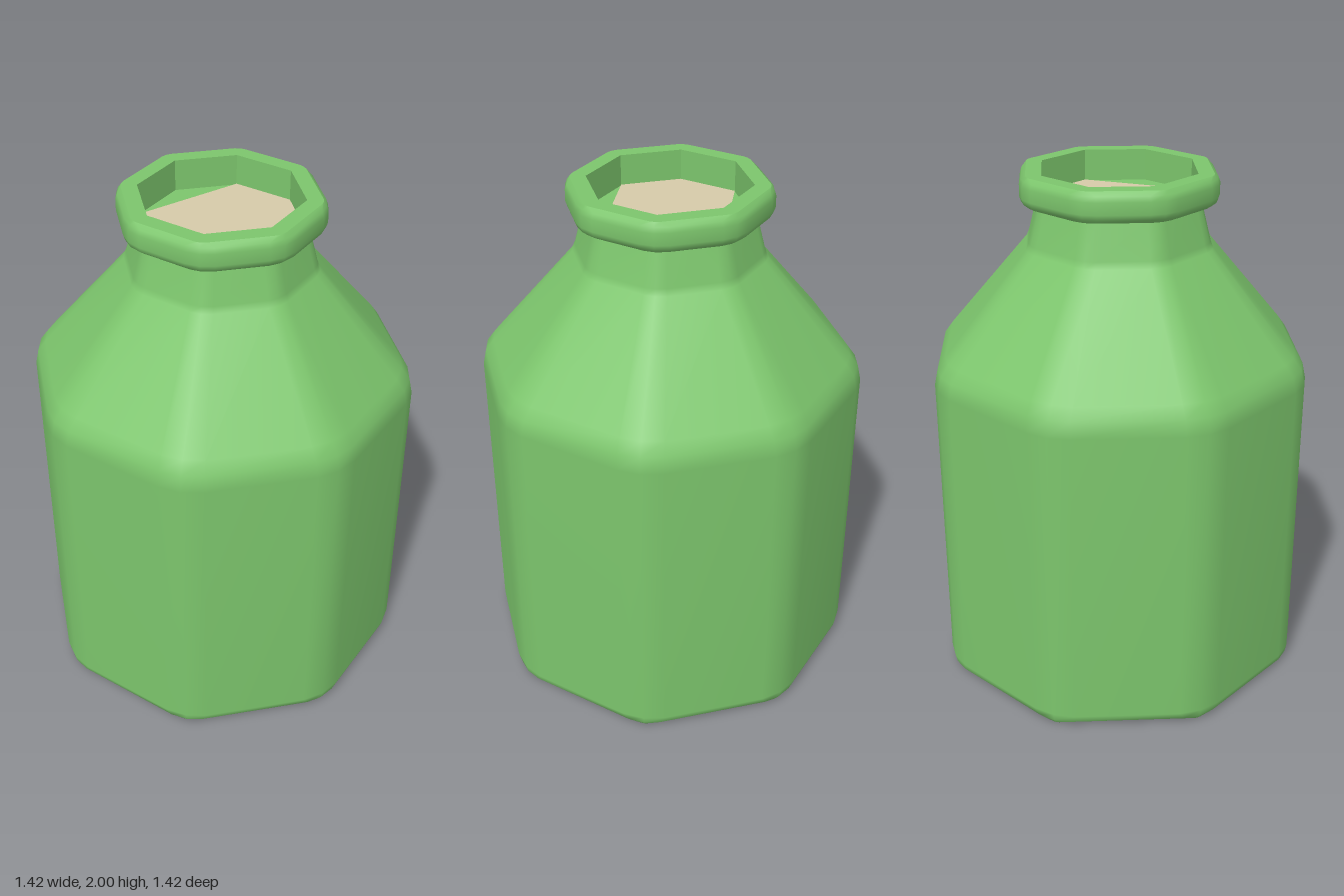
import * as THREE from 'three';

const RAD = Math.PI / 180;
const TURN = 19.6;   // angle of the first corner of the octagon
const HALF = 22.5;   // half of one octagon side

// Points of an octagon: half width w across the flats, corners bevelled by +-d degrees
function ring(w, y, d, sharp) {
  const points = [];
  for (let k = 0; k < 8; k++) {
    for (const s of sharp ? [0] : [-1, 0, 1]) {
      const t = (TURN + 45 * k + s * d) * RAD;
      let r = w * 0.983 / Math.cos((HALF - d) * RAD);
      if (s === 0) r *= 1 + 0.002 * d;
      points.push([r * Math.cos(t), y, -r * Math.sin(t)]);
    }
  }
  return points;
}

// Skin through levels [halfWidth, y, bevel], listed so that the outside is on the right
function skin(levels, { flat = false, sharp = false } = {}) {
  const rings = levels.map(([w, y, d = 0]) => ring(w, y, d, sharp));
  const n = rings[0].length;
  const index = [];
  for (let j = 0; j < rings.length - 1; j++) {
    for (let i = 0; i < n; i++) {
      const a = j * n + i, b = j * n + (i + 1) % n;
      index.push(a, b, b + n, a, b + n, a + n);
    }
  }
  let geo = new THREE.BufferGeometry();
  geo.setAttribute('position', new THREE.Float32BufferAttribute(rings.flat(2), 3));
  geo.setIndex(index);
  if (flat) geo = geo.toNonIndexed();
  geo.computeVertexNormals();
  return geo;
}

// Flat upward polygon on the octagon corners, leaving out some of them
function plate(w, y, skip = []) {
  const corners = ring(w, y, 0, true).filter((_, k) => !skip.includes(k));
  const shape = new THREE.Shape(corners.map(([x, , z]) => new THREE.Vector2(x, -z)));
  return new THREE.ShapeGeometry(shape).rotateX(-Math.PI / 2).translate(0, y, 0);
}

export function createModel() {
  const green = new THREE.MeshStandardMaterial({ color: 0x7cc56c });
  green.name = 'bottleGreen';
  const beige = new THREE.MeshStandardMaterial({ color: 0xd6caa9 });
  beige.name = 'contentsBeige';

  const model = new THREE.Group();
  model.name = 'bottle';
  const add = (name, geo, mat) => {
    const mesh = new THREE.Mesh(geo, mat);
    mesh.name = name;
    model.add(mesh);
  };

  // Base
  add('base', skin([[0, 0], [0.68, 0]], { flat: true, sharp: true }), green);

  // Body, shoulder and neck in one smooth skin
  add('body', skin([
    [0.68, 0, 1], [0.705, 0.02, 5], [0.715, 0.05, 6.5],
    [0.715, 1.23, 6.5], [0.702, 1.29, 6.5], [0.67, 1.335, 6.5],
    [0.353, 1.72, 6.5], [0.343, 1.745, 6.5], [0.308, 1.885, 6.5],
  ]), green);

  // Lip: underside, rounded outside, top and inner wall
  add('lipUnderside', skin([[0.3, 1.885, 6.5], [0.345, 1.885, 6.5]], { flat: true }), green);
  add('lip', skin([
    [0.345, 1.885, 6.5], [0.365, 1.9, 8], [0.372, 1.92, 8],
    [0.372, 1.965, 8], [0.365, 1.985, 8], [0.348, 2, 3],
  ]), green);
  add('lipTop', skin([[0.348, 2, 3], [0.288, 2, 0.2]], { flat: true }), green);
  add('innerWall', skin([[0.288, 2], [0.288, 1.88]], { flat: true, sharp: true }), green);

  // Floor of the mouth with the contents showing across it
  add('mouthFloor', plate(0.288, 1.88), green);
  add('contents', plate(0.288, 1.883, [2, 6]), beige);

  return model;
}
